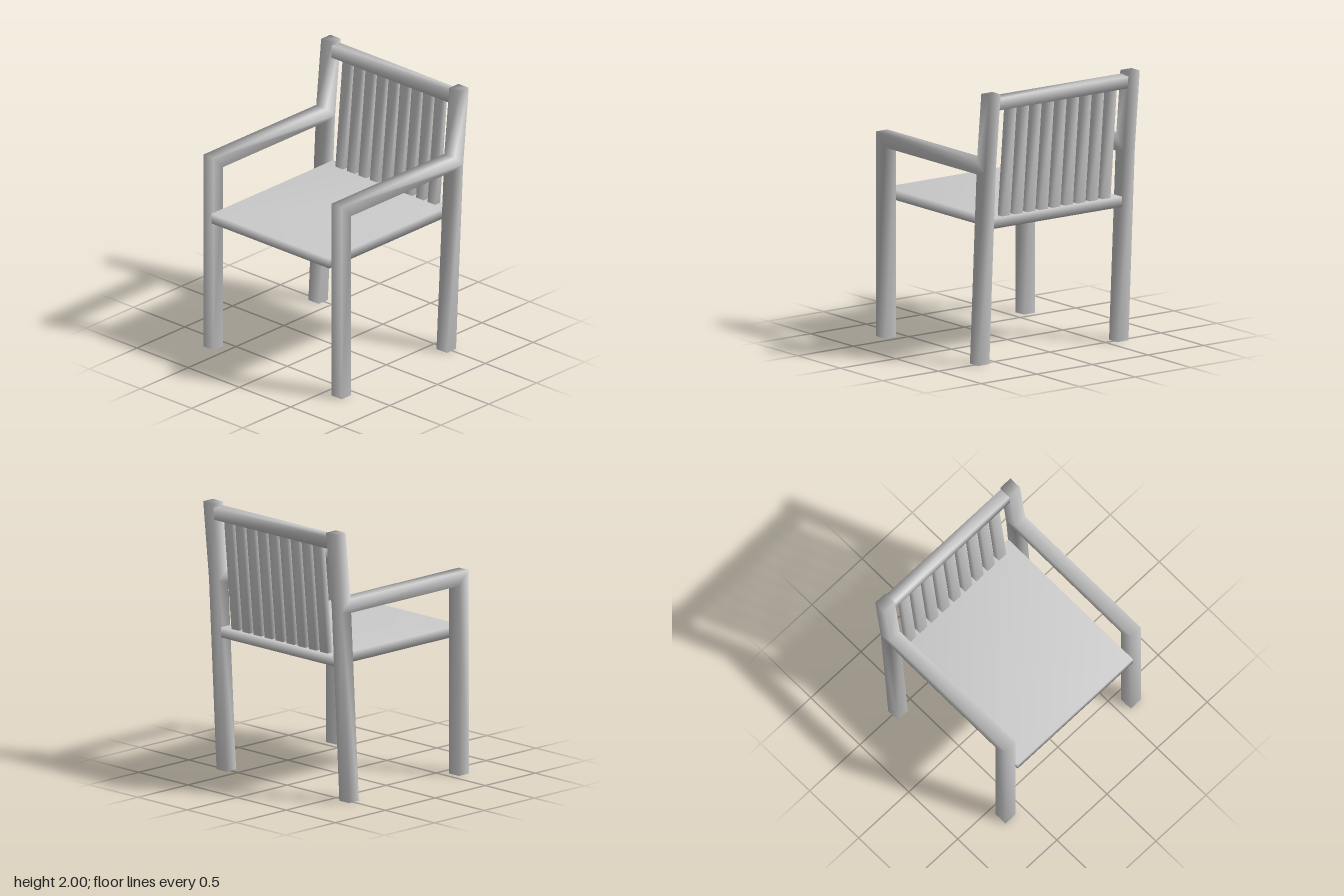
import * as THREE from 'three';
import { mergeVertices } from 'three/addons/utils/BufferGeometryUtils.js';

const material = new THREE.MeshStandardMaterial({ color: 0xcccccc });

// A part with a side profile of [z, y] points, carried along x and centred on x = cx
function profilePart(name, profile, width, cx = 0) {
  const shape = new THREE.Shape(profile.map(([z, y]) => new THREE.Vector2(z, y)));
  let geometry = new THREE.ExtrudeGeometry(shape, { depth: width, bevelEnabled: false });
  geometry.translate(0, 0, -width / 2).rotateY(-Math.PI / 2).translate(cx, 0, 0);
  // Shared corners give soft shading across the edges
  geometry.deleteAttribute('uv');
  geometry.deleteAttribute('normal');
  geometry = mergeVertices(geometry);
  geometry.computeVertexNormals();
  const mesh = new THREE.Mesh(geometry, material);
  mesh.name = name;
  return mesh;
}

export function createModel() {
  const chair = new THREE.Group();
  chair.name = 'armchair';

  // Side frames: front leg, armrest and bent back leg in one outline
  const frame = [
    [0.655, 0], [0.655, 1.5], [-0.527, 1.5], [-0.578, 2], [-0.675, 2],
    [-0.617, 1.42], [-0.542, 0], [-0.445, 0], [-0.522, 1.4], [0.555, 1.4], [0.555, 0],
  ];
  chair.add(profilePart('leftSideFrame', frame, 0.1, 0.625));
  chair.add(profilePart('rightSideFrame', frame, 0.1, -0.625));

  // Seat board
  chair.add(profilePart('seat', [[0.677, 1], [0.677, 1.075], [-0.595, 1.075], [-0.595, 1]], 1.15));

  // Top rail, leaning with the back posts
  chair.add(profilePart('topRail',
    [[-0.576, 1.885], [-0.585, 1.975], [-0.672, 1.968], [-0.663, 1.88]], 1.15));

  // Leaning back slats between seat and rail
  const slats = new THREE.Group();
  slats.name = 'backSlats';
  const slat = [[-0.525, 1.07], [-0.602, 1.9], [-0.652, 1.9], [-0.577, 1.07]];
  for (let i = -4; i <= 4; i++) slats.add(profilePart('backSlat', slat, 0.074, i * 0.1125));
  chair.add(slats);

  return chair;
}
